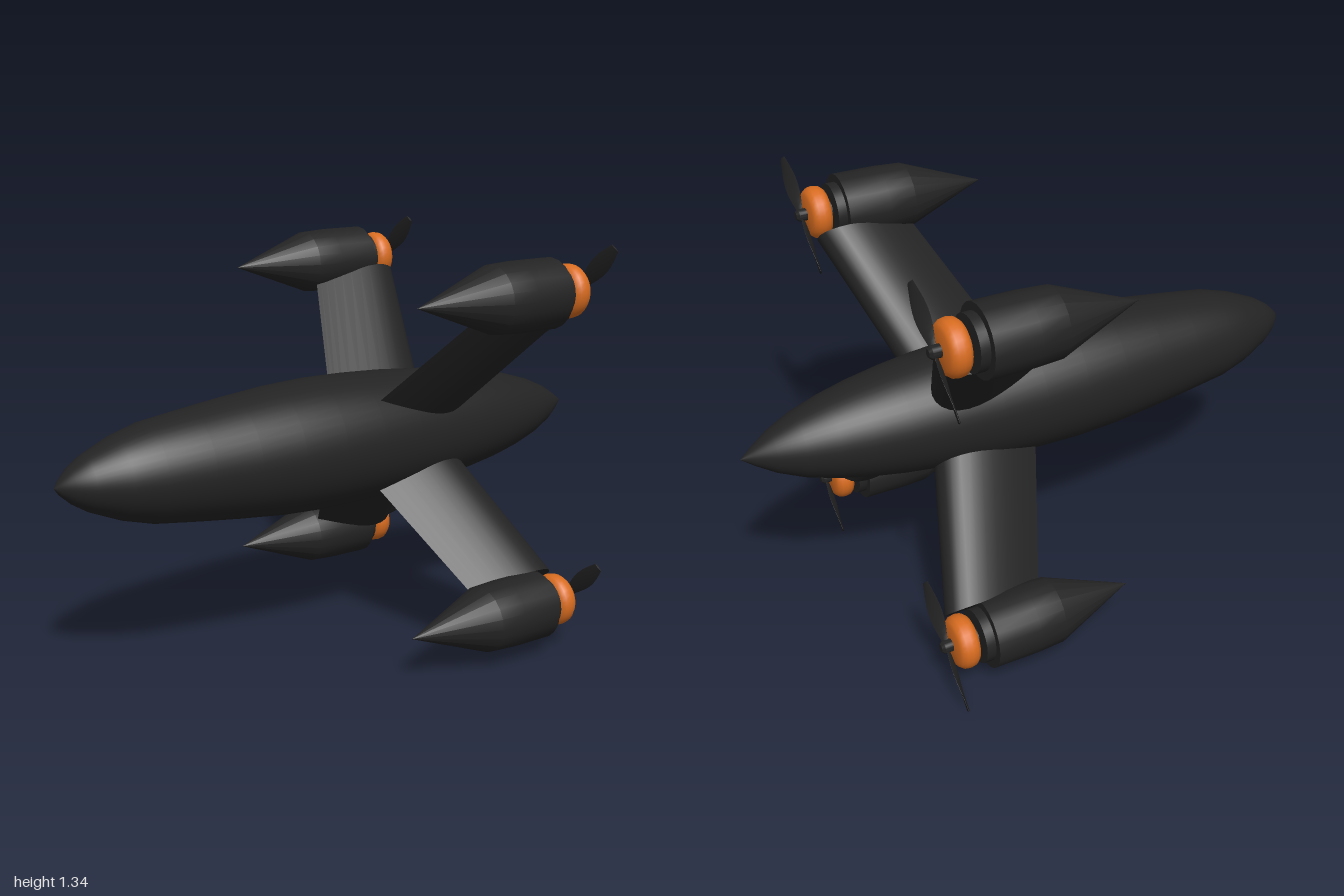
import * as THREE from 'three';
import { toCreasedNormals } from 'three/addons/utils/BufferGeometryUtils.js';

const black = new THREE.MeshStandardMaterial({ color: 0x232323 });
black.name = 'matte black';
const orange = new THREE.MeshStandardMaterial({ color: 0xd86c20 });
orange.name = 'orange';

const AXIS_Y = 0.67;   // height of the fuselage axis
const ARM = 0.515;     // sideways and vertical offset of each engine pod

function part(name, geometry, material) {
  const mesh = new THREE.Mesh(geometry, material);
  mesh.name = name;
  return mesh;
}

// Solid of revolution about x, from [x, radius] pairs running tail to nose
function turned(profile, sides, crease) {
  const g = new THREE.LatheGeometry(profile.map(([x, r]) => new THREE.Vector2(r, x)), sides);
  g.rotateZ(-Math.PI / 2);
  return crease ? toCreasedNormals(g, crease) : g;
}

// Forward-swept wing growing along +y, thickness along z
function wingGeometry() {
  const steps = 14, n = steps * 2, pos = [], idx = [];
  const sections = [
    { y: 0.08, tail: 0.02, lead: 0.39, t: 0.39 },
    { y: 0.64, tail: 0.22, lead: 0.545, t: 0.41 },
  ];
  for (const s of sections) {
    const chord = s.lead - s.tail;
    for (let i = 0; i < n; i++) {
      const a = (i / n) * Math.PI * 2;
      const u = (1 + Math.cos(a)) / 2; // 0 at the leading edge, 1 at the trailing edge
      const half = 5 * s.t * chord * (0.2969 * Math.sqrt(u) - 0.126 * u - 0.3516 * u ** 2 + 0.2843 * u ** 3 - 0.1036 * u ** 4);
      pos.push(s.lead - u * chord, s.y, i < steps ? half : -half);
    }
  }
  for (let i = 0; i < n; i++) {
    const j = (i + 1) % n;
    idx.push(i, j, j + n, i, j + n, i + n);
    if (i > 0 && i < n - 1) idx.push(n, n + i, n + i + 1);
  }
  const g = new THREE.BufferGeometry();
  g.setAttribute('position', new THREE.Float32BufferAttribute(pos, 3));
  g.setIndex(idx);
  return toCreasedNormals(g, 0.7);
}

// Twisted paddle blade along +y, spinning about x
function bladeGeometry() {
  const length = 0.195;
  const g = new THREE.BoxGeometry(0.007, length, 1, 1, 10, 2);
  const p = g.attributes.position;
  for (let i = 0; i < p.count; i++) {
    const y = p.getY(i) + length / 2 + 0.01, k = y / (length + 0.01);
    const chord = 0.014 + 0.046 * Math.sin(Math.PI * Math.min(1, k * 0.86)) ** 1.3;
    const c = p.getZ(i) * chord;
    const x = p.getX(i) * (1 - 0.9 * Math.abs(p.getZ(i)) * 2);
    const pitch = 0.8 - 0.55 * k;
    p.setXYZ(i, x * Math.cos(pitch) + c * Math.sin(pitch), y, c * Math.cos(pitch) - x * Math.sin(pitch));
  }
  g.computeVertexNormals();
  return g;
}

export function createModel() {
  const model = new THREE.Group();
  model.name = 'fourEngineAircraft';

  // Spindle fuselage
  const hull = turned([
    [-1, 0], [-0.985, 0.022], [-0.95, 0.055], [-0.9, 0.087], [-0.8, 0.13], [-0.7, 0.158],
    [-0.55, 0.178], [-0.4, 0.196], [-0.25, 0.211], [-0.1, 0.218], [0.05, 0.216], [0.2, 0.209],
    [0.35, 0.196], [0.5, 0.178], [0.62, 0.158], [0.72, 0.135], [0.82, 0.104], [0.9, 0.068],
    [0.96, 0.03], [1, 0],
  ], 48);
  const fuselage = part('fuselage', hull, black);
  fuselage.position.y = AXIS_Y;
  model.add(fuselage);

  // Shared engine geometries
  const wing = wingGeometry();
  const nacelle = turned([[-0.07, 0], [0.21, 0.107], [0.3, 0.112], [0.445, 0.112], [0.445, 0.09], [0.445, 0]], 20, 0.4);
  const collar = turned([[0.43, 0.086], [0.475, 0.086], [0.475, 0.06], [0.475, 0]], 24, 0.6);
  const shaft = turned([[0.46, 0.035], [0.5, 0.035]], 16);
  const engine = turned([
    [0.487, 0], [0.487, 0.06], [0.491, 0.073], [0.503, 0.083], [0.52, 0.086],
    [0.537, 0.083], [0.55, 0.073], [0.555, 0.06], [0.557, 0],
  ], 28, 0.6);
  const hub = turned([[0.55, 0.02], [0.583, 0.02], [0.592, 0.012], [0.592, 0]], 16, 0.6);
  const blade = bladeGeometry();

  // Four wings in an X, each carrying a tractor engine pod
  for (const sy of [1, -1]) {
    for (const sz of [1, -1]) {
      const side = (sy > 0 ? 'upper' : 'lower') + (sz > 0 ? 'Front' : 'Back');

      const w = part(side + 'Wing', wing, black);
      w.position.y = AXIS_Y;
      w.rotation.x = Math.atan2(sz, sy);
      model.add(w);

      const pod = new THREE.Group();
      pod.name = side + 'EnginePod';
      pod.position.set(0, AXIS_Y + sy * ARM, sz * ARM);
      pod.add(
        part('nacelle', nacelle, black),
        part('collar', collar, black),
        part('shaft', shaft, black),
        part('engine', engine, orange),
        part('propellerHub', hub, black),
      );
      for (let i = 0; i < 2; i++) {
        const b = part('propellerBlade', blade, black);
        b.position.x = 0.572;
        b.rotation.x = Math.PI / 4 + i * Math.PI;
        pod.add(b);
      }
      model.add(pod);
    }
  }
  return model;
}
